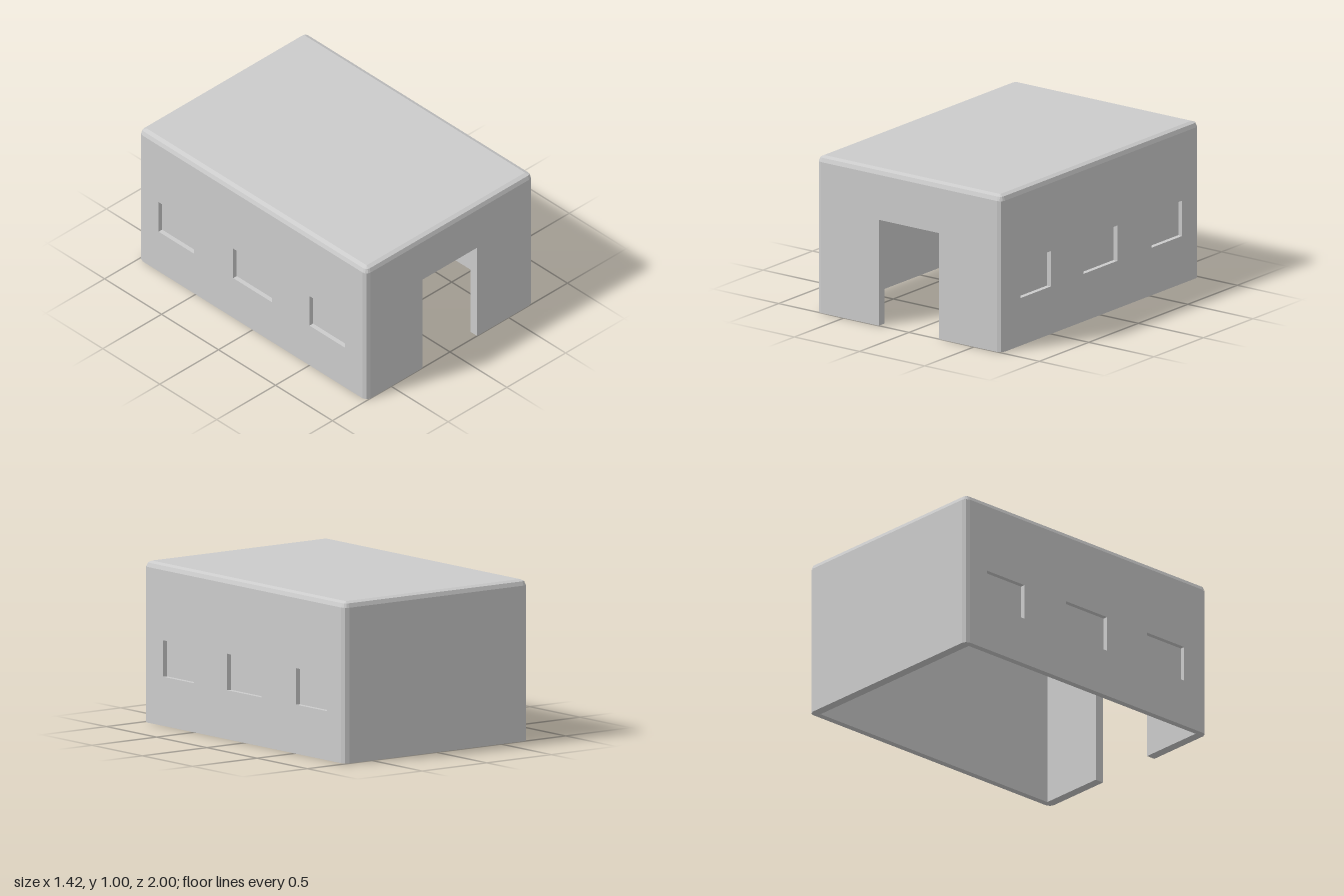
import * as THREE from 'three';

const W = 0.71, H = 1, D = 1;          // half width, height, half depth
const R = 0.036;                       // bevel radius
const SIDE = 0.04, END = 0.06, ROOF = 0.036, RECESS = 0.03;

const material = new THREE.MeshStandardMaterial({ color: 0xcccccc, flatShading: true });

function add(parent, name, geometry, x = 0, y = 0, z = 0) {
  const mesh = new THREE.Mesh(geometry, material);
  mesh.name = name;
  mesh.position.set(x, y, z);
  parent.add(mesh);
  return mesh;
}

function rectangle(Type, x0, y0, x1, y1) {
  return new Type([[x0, y0], [x1, y0], [x1, y1], [x0, y1]].map(([x, y]) => new THREE.Vector2(x, y)));
}

const extrude = (shape, depth) => new THREE.ExtrudeGeometry(shape, { depth, bevelEnabled: false });

// Solid quarter-round strip along y, bulging towards +x +z
const quarterRound = (length) => new THREE.CylinderGeometry(R, R, length, 2, 1, false, 0, Math.PI / 2);

export function createModel() {
  const model = new THREE.Group();
  model.name = 'building';
  const w = W - R, d = D - R, h = H - R;

  // Front wall with doorway
  const front = new THREE.Shape([
    [-w, 0], [-0.232, 0], [-0.232, 0.677], [0.232, 0.677],
    [0.232, 0], [w, 0], [w, h], [-w, h],
  ].map(([x, y]) => new THREE.Vector2(x, y)));
  add(model, 'frontWall', extrude(front, END), 0, 0, D - END);

  // Back wall and roof
  add(model, 'backWall', new THREE.BoxGeometry(2 * w, h, END), 0, h / 2, -D + END / 2);
  add(model, 'roof', new THREE.BoxGeometry(2 * w, ROOF, 2 * d), 0, H - ROOF / 2, 0);

  // Side walls: a pierced outer layer over a plain inner layer gives blind windows
  for (const s of [1, -1]) {
    const side = new THREE.Group();
    side.name = s > 0 ? 'leftWall' : 'rightWall';
    const outer = rectangle(THREE.Shape, -d, 0, d, h);
    for (const [a, b] of [[-0.825, -0.515], [-0.17, 0.17], [0.5, 0.81]]) {
      // local x runs along -z on the left wall and +z on the right wall
      const [x0, x1] = s > 0 ? [-b, -a] : [a, b];
      outer.holes.push(rectangle(THREE.Path, x0, 0.304, x1, 0.53));
    }
    add(side, 'windowedLayer', extrude(outer, RECESS), 0, 0, W - RECESS);
    const inner = SIDE - RECESS;
    add(side, 'innerLayer', new THREE.BoxGeometry(2 * d, h, inner), 0, h / 2, W - SIDE + inner / 2);
    side.rotation.y = s * Math.PI / 2;
    model.add(side);
  }

  // Bevelled corner posts and roof corners
  for (let i = 0; i < 4; i++) {
    const sx = i === 0 || i === 1 ? 1 : -1;
    const sz = i === 0 || i === 3 ? 1 : -1;
    const post = add(model, 'cornerPost', quarterRound(h), sx * w, h / 2, sz * d);
    post.rotation.y = i * Math.PI / 2;
    const corner = add(model, 'roofCorner',
      new THREE.SphereGeometry(R, 2, 2, Math.PI / 2, Math.PI / 2, 0, Math.PI / 2), sx * w, h, sz * d);
    corner.rotation.y = i * Math.PI / 2;
  }

  // Bevelled roof edges, one per side
  for (let i = 0; i < 4; i++) {
    const [length, reach] = i % 2 ? [2 * d, w] : [2 * w, d];
    const edge = new THREE.Group();
    edge.name = 'roofEdge';
    // strip laid along x, bulging up and outwards
    add(edge, 'edgeStrip', quarterRound(length), 0, h, reach).rotation.z = Math.PI / 2;
    edge.rotation.y = i * Math.PI / 2;
    model.add(edge);
  }
  return model;
}
